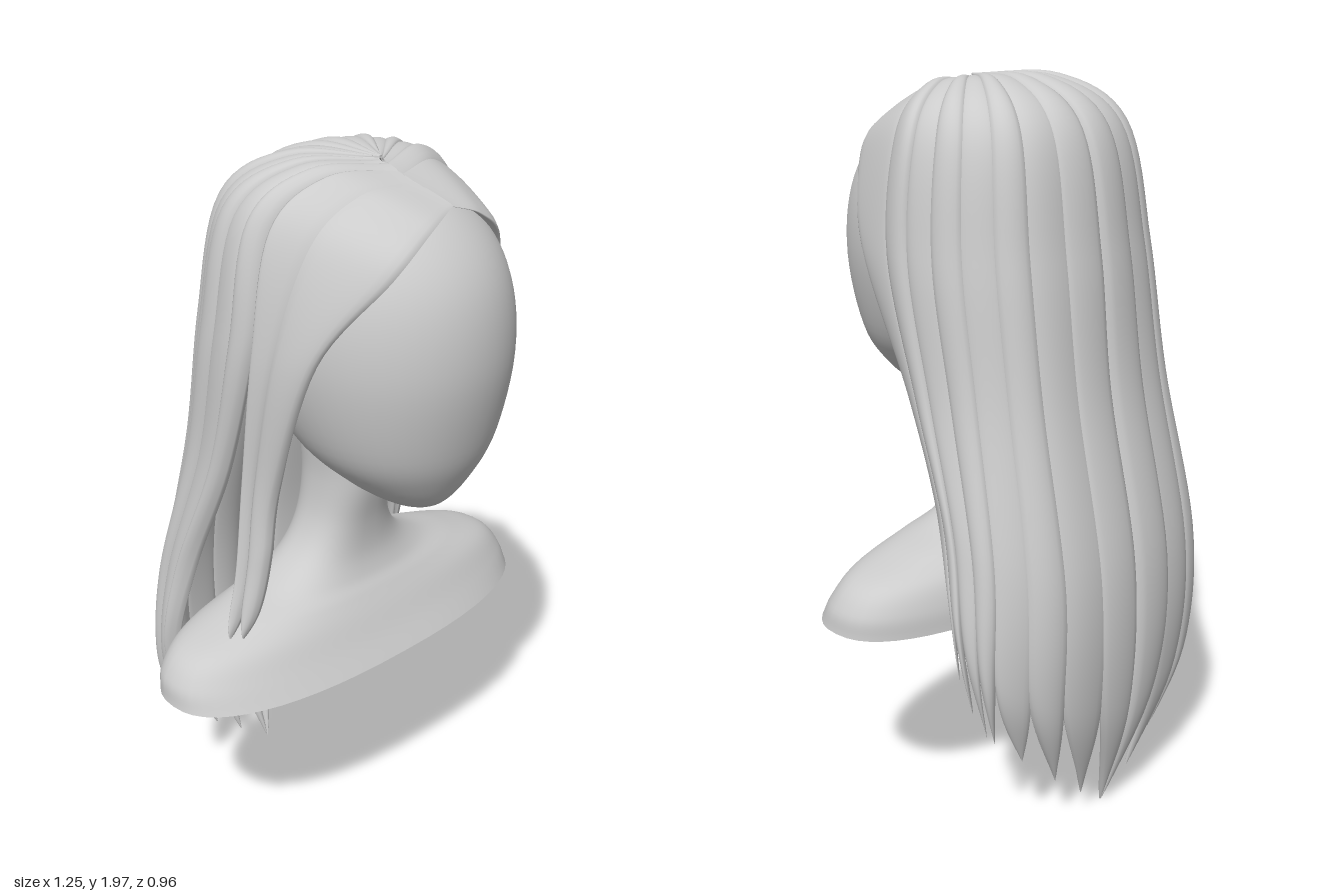
import * as THREE from 'three';

const material = new THREE.MeshStandardMaterial({ color: 0xcccccc, side: THREE.DoubleSide });
const V = (x, y, z) => new THREE.Vector3(x, y, z);
const spline = (pts) => new THREE.CatmullRomCurve3(pts, false, 'catmullrom', 0.5);

// Smooth skin over a list of closed rings with equal point counts
function skin(rings, flip, name) {
  const n = rings[0].length;
  const index = [];
  for (let r = 0; r < rings.length - 1; r++) {
    for (let i = 0; i < n; i++) {
      const a = r * n + i, b = r * n + (i + 1) % n, c = a + n, d = b + n;
      if (flip) index.push(a, c, b, b, c, d);
      else index.push(a, b, c, b, d, c);
    }
  }
  const geometry = new THREE.BufferGeometry().setFromPoints(rings.flat());
  geometry.setIndex(index);
  geometry.computeVertexNormals();
  const mesh = new THREE.Mesh(geometry, material);
  mesh.name = name;
  return mesh;
}

// Rows of [y, half width, front z, back z], joined smoothly from bottom to top
function bodyRings(rows, power) {
  const front = spline(rows.map(([y, w, f]) => V(w, y, f)));
  const back = spline(rows.map(([y, w, , b]) => V(w, y, b)));
  const steps = 48, sides = 56;
  const bend = (v) => Math.sign(v) * Math.abs(v) ** power;
  const rings = [];
  for (let r = 0; r <= steps; r++) {
    const f = front.getPoint(r / steps), b = back.getPoint(r / steps);
    const ring = [];
    for (let i = 0; i < sides; i++) {
      const a = (i / sides) * Math.PI * 2;
      ring.push(V(f.x * bend(Math.cos(a)), f.y, (f.z + b.z) / 2 + (f.z - b.z) / 2 * bend(Math.sin(a))));
    }
    rings.push(ring);
  }
  return rings;
}

// Guide curve: a domed arc over the crown from the parting to the temple, then down to the tip
function sweep(parting, temple, ...fall) {
  const p = V(...parting), q = V(...temple);
  const arc = [25, 56].map((deg) => {
    const a = THREE.MathUtils.degToRad(deg);
    const across = Math.sin(a) ** 0.85;
    const lift = 0.03 * Math.sin(2 * a);
    return V(p.x + (q.x - p.x) * across, q.y + (p.y - q.y) * Math.cos(a) ** 0.75 + lift, p.z + (q.z - p.z) * across);
  });
  return [p, ...arc, q, ...fall.map((f) => V(...f))];
}
const edge = (...pts) => pts.map((p) => V(...p));

// Guides from the middle of the back round to the hairline
const backMiddle = sweep([0, 1.965, .13], [0, 1.55, -.318], [0, 1.2, -.36], [0, .75, -.455], [0, .35, -.45], [0, .005, -.355]);
const backOuter = sweep([.005, 1.965, .13], [.2, 1.55, -.28], [.21, 1.2, -.335], [.225, .75, -.43], [.22, .4, -.425], [.165, .13, -.365]);
const rearSide = sweep([.005, 1.96, .13], [.315, 1.55, -.175], [.33, 1.2, -.235], [.37, .8, -.33], [.385, .5, -.34], [.35, .3, -.31]);
const side = sweep([.005, 1.955, .14], [.36, 1.55, -.045], [.37, 1.2, -.12], [.41, .85, -.235], [.43, .58, -.275], [.385, .35, -.275]);
const frontSide = sweep([0, 1.94, .19], [.357, 1.55, .06], [.37, 1.2, -.04], [.4, .9, -.16], [.43, .68, -.215], [.425, .48, -.24]);
const hairline = edge([.03, 1.88, .33], [.13, 1.845, .345], [.225, 1.765, .325], [.325, 1.55, .215],
  [.335, 1.2, .04], [.355, .96, -.07], [.395, .78, -.15], [.43, .6, -.21]);

// Loose lock in front of the right shoulder, rear and front edges (given on the left, then mirrored)
const lockRear = sweep([0, 1.94, .18], [.36, 1.55, .08], [.375, 1.2, .045], [.4, .96, .04], [.43, .84, .04], [.46, .77, .045]);
const lockFront = edge([-.035, 1.88, .335], [.09, 1.845, .38], [.21, 1.76, .38], [.325, 1.55, .25],
  [.345, 1.2, .13], [.365, 1, .11], [.39, .86, .1], [.415, .77, .09]);

const curvesOf = (guides, sign) => guides.map((g) => spline(g.map((p) => V(p.x * sign, p.y, p.z))));

// One tapering lock of hair between guide positions s0 and s1
function strand(curves, s0, s1, flip, name, tip, bulge) {
  const rows = 56, across = 10, last = curves.length - 1, taperStart = 0.7;
  const rings = [];
  for (let r = 0; r <= rows; r++) {
    const t = r / rows;
    const guide = spline(curves.map((c) => c.getPoint(t)));
    const taper = t < taperStart ? 1 : Math.max(0.01, 1 - ((t - taperStart) / (1 - taperStart)) ** 2.6);
    const swell = THREE.MathUtils.smoothstep(t, -0.1, 0.28) * Math.sqrt(taper);
    const outer = [], inner = [];
    for (let i = 0; i <= across; i++) {
      const u = i / across;
      const s = s0 + (s1 - s0) * (tip + (u - tip) * taper);
      const p = guide.getPoint(THREE.MathUtils.clamp(s / last, 0, 1));
      const out = V(p.x, Math.max(0, p.y - 1.6), p.z - 0.06).normalize();
      const dome = Math.sqrt(Math.sin(Math.PI * u) + 1e-6);
      outer.push(p.clone().addScaledVector(out, bulge * swell * dome));
      inner.push(p.clone().addScaledVector(out, -swell * (0.006 + 0.022 * dome)));
    }
    rings.push([...outer, ...inner.reverse()]);
  }
  return skin(rings, flip, name);
}

export function createModel() {
  const model = new THREE.Group();
  model.name = 'bustWithLongHair';

  // Head with a smooth blank face
  model.add(skin(bodyRings([
    [1.1, .005, .29, .27], [1.118, .078, .355, .18], [1.19, .178, .408, .06], [1.3, .268, .452, -.08],
    [1.5, .328, .485, -.23], [1.68, .325, .462, -.265], [1.81, .27, .385, -.22], [1.9, .15, .26, -.1],
    [1.93, .005, .09, .07],
  ], 0.98), true, 'head'));

  // Neck widening into the shoulders, cut flat underneath
  const bust = bodyRings([
    [.62, .625, .25, -.225], [.68, .612, .212, -.215], [.74, .555, .178, -.195], [.785, .42, .15, -.17],
    [.825, .28, .125, -.15], [.89, .18, .108, -.13], [.98, .125, .11, -.115], [1.1, .105, .132, -.11],
    [1.22, .11, .14, -.12],
  ], 0.84);
  model.add(skin(bust, true, 'neckAndShoulders'));
  const outline = new THREE.Shape(bust[0].map((p) => new THREE.Vector2(p.x, p.z)));
  const base = new THREE.Mesh(new THREE.ShapeGeometry(outline).rotateX(Math.PI / 2), material);
  base.position.y = 0.62;
  base.name = 'flatBase';
  model.add(base);

  // Long locks fanning from the parting; the right side leaves its front to the loose lock
  const hair = new THREE.Group();
  hair.name = 'hair';
  const guides = [backMiddle, backOuter, rearSide, side, frontSide, hairline];
  const breaks = [0, 0.45, 1.05, 1.5, 2.1, 2.6, 3.3, 4, 5];
  for (const [name, sign, count] of [['leftStrand', 1, 8], ['rightStrand', -1, 7]]) {
    const curves = curvesOf(guides, sign);
    for (let i = 0; i < count; i++) {
      const overlap = i === count - 1 ? 0 : 0.16;
      hair.add(strand(curves, breaks[i], breaks[i + 1] + overlap, sign < 0, name + (i + 1),
        i === 0 ? 0.01 : 0.2, i % 2 ? 0.013 : 0.021));
    }
  }
  const lock = curvesOf([lockRear, lockFront], -1);
  hair.add(strand(lock, 0, 0.55, true, 'rightFrontLockRear', 0.6, 0.02));
  hair.add(strand(lock, 0.45, 1, true, 'rightFrontLock', 0.5, 0.02));
  model.add(hair);
  return model;
}
